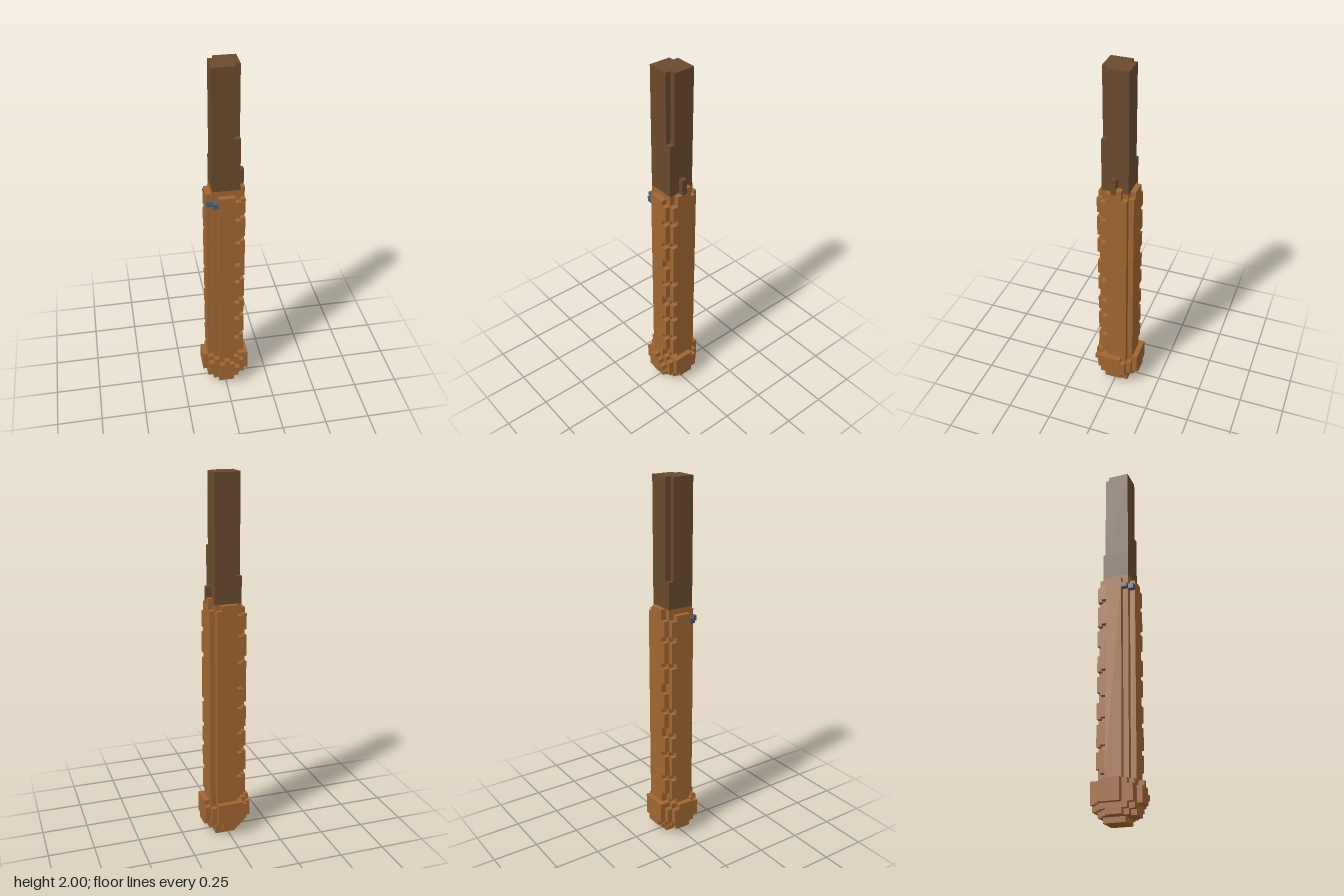
import * as THREE from 'three';

const S = 2 / 69; // size of one block

export function createModel() {
  const model = new THREE.Group();
  const wood = new THREE.MeshStandardMaterial({ color: 0xa06633 });
  const darkWood = new THREE.MeshStandardMaterial({ color: 0x694a2d });
  const steel = new THREE.MeshStandardMaterial({ color: 0x555c66 });

  const part = (name) => {
    const g = new THREE.Group();
    g.name = name;
    model.add(g);
    return g;
  };

  // Box spanning inclusive block indices [x0..x1], [y0..y1], [z0..z1]
  const block = (group, mat, [x0, x1], [y0, y1], [z0, z1]) => {
    const geo = new THREE.BoxGeometry((x1 - x0 + 1) * S, (y1 - y0 + 1) * S, (z1 - z0 + 1) * S);
    const mesh = new THREE.Mesh(geo, mat);
    mesh.name = group.name + 'Block';
    mesh.position.set((x0 + x1) / 2 * S, (y0 + y1 + 1) / 2 * S, (z0 + z1) / 2 * S);
    group.add(mesh);
  };

  // Vertical one-block rail interrupted at the listed layers
  const rail = (group, x, z, y0, y1, gaps) => {
    let start = y0;
    for (const g of [...gaps, y1 + 1]) {
      if (g > start) block(group, wood, [x, x], [start, g - 1], [z, z]);
      start = g + 1;
    }
  };

  // Dark shaft with two notched corners and a small lug
  const shaft = part('shaft');
  block(shaft, darkWood, [-2, 2], [46, 50], [-2, 2]);
  block(shaft, darkWood, [-1, 2], [51, 55], [-2, 2]);
  block(shaft, darkWood, [-2, -2], [51, 68], [-1, 2]);
  block(shaft, darkWood, [-1, 1], [56, 68], [-2, 2]);
  block(shaft, darkWood, [2, 2], [56, 68], [-2, 1]);
  block(shaft, darkWood, [3, 3], [46, 48], [0, 0]);

  // Sheath: core plus one panel per side
  const sheath = part('sheath');
  block(sheath, wood, [-2, 2], [7, 45], [-2, 2]);
  block(sheath, wood, [-1, 1], [7, 44], [3, 3]);
  block(sheath, wood, [-3, -3], [7, 44], [-1, 1]);
  block(sheath, wood, [-1, 1], [7, 45], [-3, -3]);
  block(sheath, wood, [3, 3], [7, 45], [-1, 1]);
  block(sheath, wood, [2, 2], [7, 44], [-3, -3]);
  block(sheath, wood, [3, 3], [7, 44], [-2, -2]);
  block(sheath, wood, [3, 3], [46, 46], [-1, -1]);

  // Stitched seams on two opposite corners
  const seams = part('seam');
  const longGaps = [7, 8, 12, 17, 21, 22, 26, 30, 31, 35, 40];
  const shortGaps = [7, 12, 17, 21, 26, 35, 40];
  for (const s of [1, -1]) {
    rail(seams, 2 * s, 3 * s, 7, 43, longGaps);
    rail(seams, 3 * s, 2 * s, 7, 43, shortGaps);
  }

  // Small metal studs near the mouth
  const studs = part('stud');
  block(studs, steel, [-3, -3], [43, 43], [2, 2]);
  block(studs, steel, [-2, -2], [43, 43], [3, 3]);

  // Rounded end knob
  const knob = part('knob');
  block(knob, wood, [-1, 2], [0, 0], [-2, 1]);
  block(knob, wood, [-2, 2], [1, 1], [-2, 2]);
  block(knob, wood, [-3, 3], [1, 1], [-1, 1]);
  block(knob, wood, [-1, 1], [1, 1], [-3, 3]);
  block(knob, wood, [-3, 3], [2, 6], [-2, 2]);
  block(knob, wood, [-2, 2], [2, 6], [-3, 3]);
  block(knob, wood, [-3, 3], [3, 5], [-3, 3]);

  // Raised cheeks on the knob
  block(knob, wood, [4, 4], [3, 6], [-1, 2]);
  block(knob, wood, [4, 4], [3, 5], [-2, -2]);
  block(knob, wood, [4, 4], [2, 2], [-1, 1]);
  block(knob, wood, [-2, 2], [3, 6], [-4, -4]);
  block(knob, wood, [-1, 1], [2, 2], [-4, -4]);
  block(knob, wood, [-4, -4], [3, 6], [-1, 1]);
  block(knob, wood, [-4, -4], [3, 5], [-2, -2]);
  block(knob, wood, [-1, 1], [3, 5], [4, 4]);
  block(knob, wood, [0, 0], [6, 6], [4, 4]);
  block(knob, wood, [2, 2], [4, 4], [4, 4]);

  return model;
}
